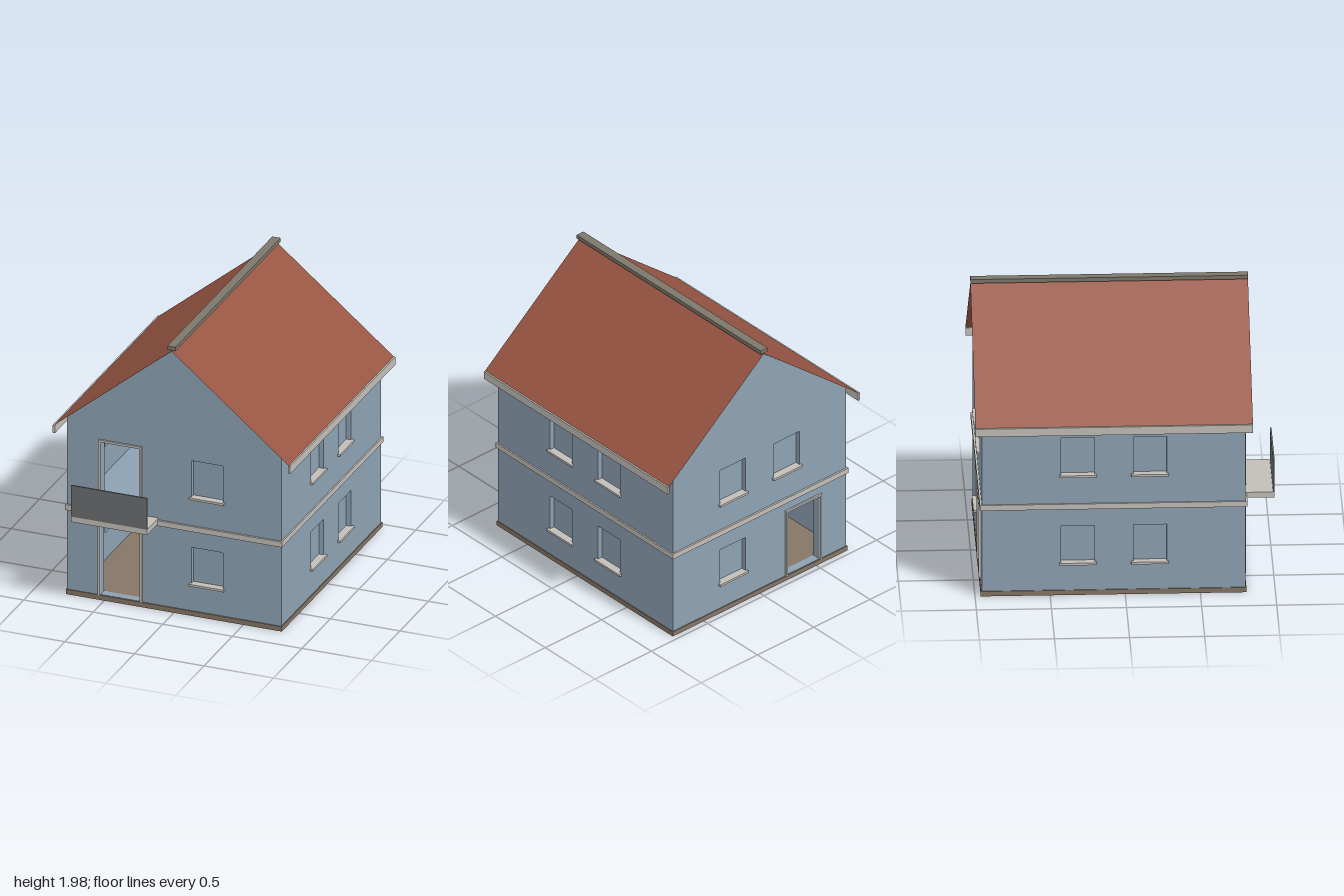
import * as THREE from 'three';

const mat = (name, color, extra = {}) => new THREE.MeshStandardMaterial({ name, color, ...extra });

export function createModel() {
  const wall = mat('wall blue', 0x8da1b3);
  const trim = mat('trim grey', 0xc2beb9);
  const stone = mat('base brown', 0x857565);
  const tile = mat('roof red', 0x985543, { side: THREE.DoubleSide });
  const ridgeMat = mat('ridge grey', 0x7d776b);
  const rail = mat('railing grey', 0x6b6d6f);

  const house = new THREE.Group();
  house.name = 'house';

  // Box given by its limits on each axis
  const box = (name, m, [x0, x1], [y0, y1], [z0, z1], parent = house) => {
    const mesh = new THREE.Mesh(new THREE.BoxGeometry(x1 - x0, y1 - y0, z1 - z0), m);
    mesh.position.set((x0 + x1) / 2, (y0 + y1) / 2, (z0 + z1) / 2);
    mesh.name = name;
    parent.add(mesh);
    return mesh;
  };

  const W = 0.77, FRONT = 0.8, BACK = -0.955, T = 0.06, EAVE = 1.307, APEX = 1.93;
  const RECESS = 0.035;
  const LOW = [0.23, 0.5], HIGH = [0.865, 1.137];

  // Openings as [from, to, bottom, top] along each wall
  const win = (a, b, [y0, y1]) => [a, b, y0, y1];
  const door = [-0.53, -0.243, 0.038, 0.543];
  const balconyDoor = [-0.525, -0.248, 0.67, 1.162];
  const frontWindows = [win(0.125, 0.352, LOW), win(0.125, 0.352, HIGH)];
  const backWindows = [...frontWindows, win(-0.355, -0.125, HIGH)];
  const sideWindows = [LOW, HIGH].flatMap(y => [win(0.055, 0.277, y), win(-0.427, -0.203, y)]);

  // Wall plate with holes cut through it
  const wallGeometry = (outline, openings) => {
    const shape = new THREE.Shape(outline.map(p => new THREE.Vector2(...p)));
    for (const [a, b, y0, y1] of openings) {
      shape.holes.push(new THREE.Path([[a, y0], [a, y1], [b, y1], [b, y0]].map(p => new THREE.Vector2(...p))));
    }
    return new THREE.ExtrudeGeometry(shape, { depth: T, bevelEnabled: false });
  };
  const addWall = (name, geometry, x, z, turn = 0) => {
    const mesh = new THREE.Mesh(geometry, wall);
    mesh.name = name;
    mesh.position.set(x, 0, z);
    mesh.rotation.y = turn;
    house.add(mesh);
  };

  // Gable walls
  const gable = [[-W, 0.03], [W, 0.03], [W, EAVE], [0, APEX], [-W, EAVE]];
  addWall('frontWall', wallGeometry(gable, [door, balconyDoor, ...frontWindows]), 0, FRONT - T);
  addWall('backWall', wallGeometry(gable, [door, ...backWindows]), 0, BACK);

  // Side walls
  const side = [[BACK + T, 0.03], [FRONT - T, 0.03], [FRONT - T, EAVE], [BACK + T, EAVE]];
  const sideGeometry = wallGeometry(side, sideWindows);
  addWall('leftWall', sideGeometry, W, 0, -Math.PI / 2);
  addWall('rightWall', sideGeometry, -W + T, 0, -Math.PI / 2);

  // Recessed panes and projecting sills
  const span = (face, dir, near, far) => [face + dir * near, face + dir * far].sort((p, q) => p - q);
  for (const [face, dir, list] of [[FRONT, 1, frontWindows], [BACK, -1, backWindows]]) {
    for (const [a, b, y0, y1] of list) {
      box('windowPane', wall, [a, b], [y0, y1], span(face, dir, -RECESS - 0.008, -RECESS));
      box('windowSill', trim, [a - 0.012, b + 0.012], [y0 - 0.01, y0 + 0.006], span(face, dir, -RECESS, 0.02));
    }
  }
  for (const dir of [1, -1]) {
    for (const [a, b, y0, y1] of sideWindows) {
      box('windowPane', wall, span(W * dir, dir, -RECESS - 0.008, -RECESS), [y0, y1], [a, b]);
      box('windowSill', trim, span(W * dir, dir, -RECESS, 0.02), [y0 - 0.01, y0 + 0.006], [a - 0.015, b + 0.015]);
    }
  }

  // Door frames
  const frame = (name, [a, b, y0, y1], z) => {
    const g = new THREE.Group();
    g.name = name;
    const w = 0.016;
    box('frameJamb', trim, [a - w, a], [y0, y1], z, g);
    box('frameJamb', trim, [b, b + w], [y0, y1], z, g);
    box('frameHead', trim, [a - w, b + w], [y1, y1 + w], z, g);
    house.add(g);
  };
  frame('frontDoorFrame', door, [FRONT - 0.01, FRONT + 0.013]);
  frame('balconyDoorFrame', balconyDoor, [FRONT - 0.01, FRONT + 0.013]);
  frame('backDoorFrame', door, [BACK - 0.012, BACK + 0.01]);

  // Ground slab, storey band, inner floors
  box('groundSlab', stone, [-0.776, 0.776], [0, 0.035], [-0.962, 0.807]);
  box('storeyBand', trim, [-0.78, 0.78], [0.622, 0.661], [-0.968, 0.815]);
  box('upperFloor', wall, [-W + 0.01, W - 0.01], [0.615, 0.666], [BACK + 0.01, FRONT - 0.01]);
  box('atticFloor', wall, [-W + 0.01, W - 0.01], [1.26, 1.3], [BACK + 0.01, FRONT - 0.01]);

  // Balcony
  box('balconySlab', trim, [-0.66, -0.113], [0.635, 0.674], [0.79, 1]);
  box('balconyRailing', rail, [-0.66, -0.113], [0.674, 0.903], [0.989, 1]);

  // Thin roof slopes, gutters and ridge
  const Z0 = -1, Z1 = 0.848, RX = 0.843, RY = 1.248, RTOP = 1.94;
  for (const s of [1, -1]) {
    const slope = new THREE.Mesh(new THREE.PlaneGeometry(Math.hypot(RX, RTOP - RY), Z1 - Z0), tile);
    slope.geometry.rotateX(-Math.PI / 2);
    slope.rotation.z = -s * Math.atan2(RTOP - RY, RX);
    slope.position.set(s * RX / 2, (RTOP + RY) / 2, (Z0 + Z1) / 2);
    slope.name = s > 0 ? 'leftRoofSlope' : 'rightRoofSlope';
    house.add(slope);
    box('gutter', trim, span(0, s, 0.837, 0.854), [1.19, 1.247], [Z0, Z1]);
  }
  box('ridgeCap', ridgeMat, [-0.03, 0.03], [1.947, 1.975], [Z0, Z1]);

  return house;
}
